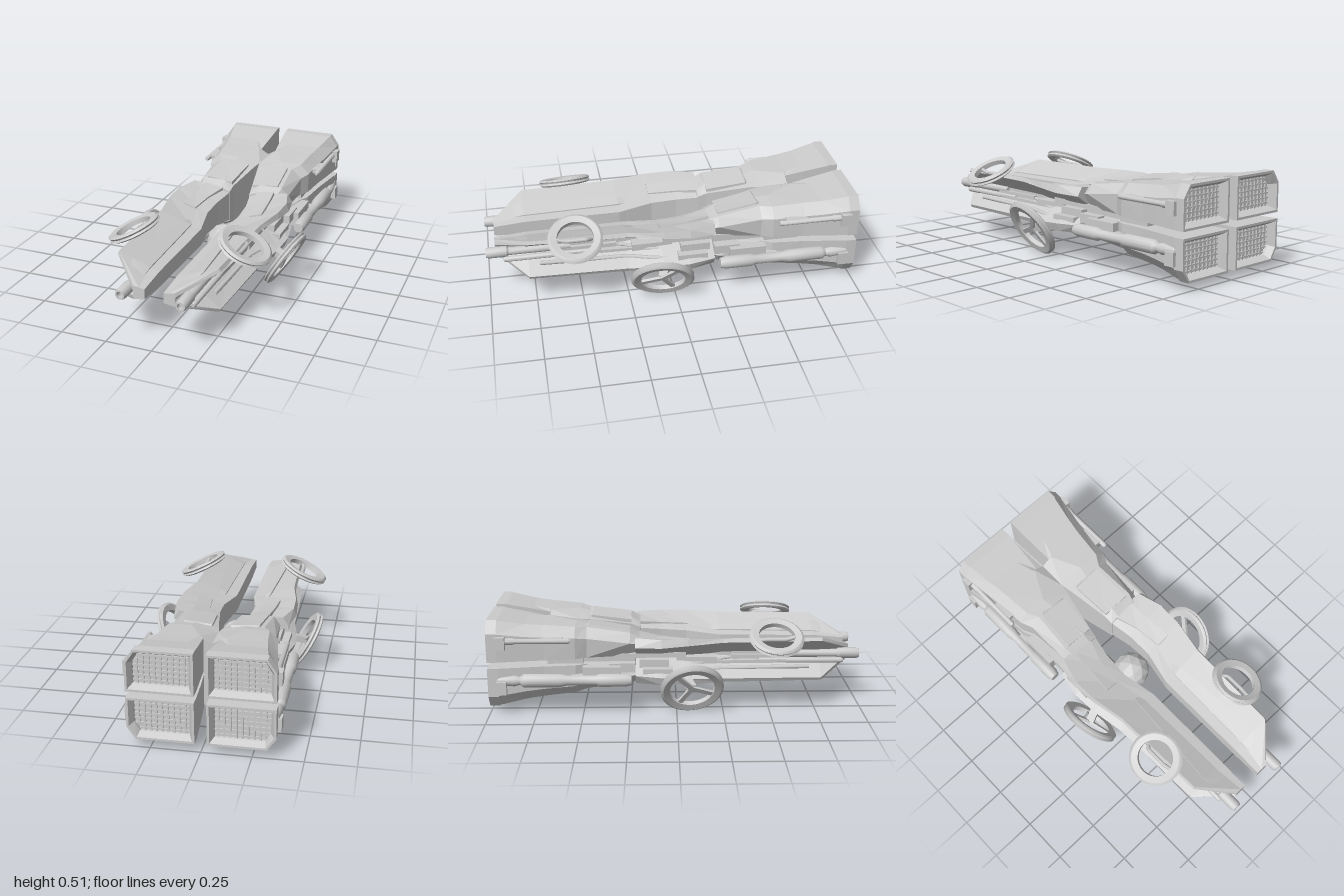
import * as THREE from 'three';
import { toCreasedNormals } from 'three/addons/utils/BufferGeometryUtils.js';

const MID = 0.278; // height of the plane between upper and lower wings
const flat = new THREE.MeshStandardMaterial({ color: 0xcccccc, flatShading: true });
const smooth = new THREE.MeshStandardMaterial({ color: 0xcccccc });
const V = (a) => new THREE.Vector3(...a);

// Skin a list of stations [z, [x, y], [x, y], ...], running from front to back
function loft(stations, capped = true) {
  const n = stations[0].length - 1, pos = [], idx = [];
  for (const [z, ...pts] of stations) for (const [x, y] of pts) pos.push(x, y, z);
  for (let i = 0; i < stations.length - 1; i++)
    for (let j = 0; j < n; j++) {
      const a = i * n + j, b = i * n + (j + 1) % n;
      idx.push(a, b, b + n, a, b + n, a + n);
    }
  const e = (stations.length - 1) * n;
  for (let j = 1; capped && j < n - 1; j++) idx.push(0, j + 1, j, e, e + j, e + j + 1);
  const g = new THREE.BufferGeometry();
  g.setAttribute('position', new THREE.Float32BufferAttribute(pos, 3));
  g.setIndex(idx);
  const out = g.toNonIndexed();
  out.computeVertexNormals();
  return out;
}

// Bake a mirror into a geometry, across x = 0 and/or y = MID
function mirrored(geo, sx, sy) {
  const g = geo.index ? geo.toNonIndexed() : geo.clone();
  g.scale(sx, sy, 1).translate(0, sy < 0 ? 2 * MID : 0, 0);
  if (sx * sy < 0)
    for (const at of Object.values(g.attributes)) {
      const s = at.itemSize, d = at.array;
      for (let i = 0; i < d.length; i += 3 * s)
        for (let k = 0; k < s; k++) [d[i + s + k], d[i + 2 * s + k]] = [d[i + 2 * s + k], d[i + s + k]];
    }
  return g;
}

const box = (x0, x1, y0, y1, z0, z1) =>
  new THREE.BoxGeometry(x1 - x0, y1 - y0, z1 - z0).translate((x0 + x1) / 2, (y0 + y1) / 2, (z0 + z1) / 2);

// Bar with rectangular section between two points
function bar(a, b, w, h = w) {
  const m = new THREE.Matrix4().lookAt(V(b), V(a), new THREE.Vector3(0, 1, 0.01));
  const c = V(a).add(V(b)).multiplyScalar(0.5);
  return new THREE.BoxGeometry(w, h, V(a).distanceTo(V(b))).applyMatrix4(m.setPosition(c));
}

// Turned part along z: profile pairs of [radius, z], from back to front
const turned = (x, y, prof) => toCreasedNormals(
  new THREE.LatheGeometry(prof.map(([r, z]) => new THREE.Vector2(r, z)), 14).rotateX(Math.PI / 2).translate(x, y, 0), 0.6);

const pipe = (pts, r) => new THREE.TubeGeometry(
  new THREE.CatmullRomCurve3(pts.map(V), false, 'catmullrom', 0.1), 20, r, 7, false);

// Wheel-like ring with a bevelled rim and optional spokes, its axis along a normal
function ring(x, y, z, R, r, normal, spokes) {
  const prof = [[r, -0.013], [R - 0.014, -0.019], [R, -0.01], [R - 0.006, 0], [R, 0.01],
    [R - 0.014, 0.019], [r, 0.013], [r, -0.013]].map(([a, b]) => new THREE.Vector2(a, b));
  const parts = [toCreasedNormals(new THREE.LatheGeometry(prof, 36), 0.5)];
  for (const a of spokes)
    parts.push(new THREE.BoxGeometry(r + 0.01, 0.014, 0.026).translate((r + 0.01) / 2, 0, 0).rotateY(a));
  const q = new THREE.Quaternion().setFromUnitVectors(new THREE.Vector3(0, 1, 0), V(normal).normalize());
  return parts.map((g) => g.applyQuaternion(q).translate(x, y, z));
}

export function createModel() {
  const model = new THREE.Group();
  const group = (name) => {
    const g = new THREE.Group();
    g.name = name;
    model.add(g);
    return g;
  };
  // place a geometry left and right, for the upper (1) and/or lower (-1) half
  const place = (g, name, geo, mat = flat, ys = [1, -1]) => {
    for (const sy of ys) for (const sx of [1, -1]) {
      const m = new THREE.Mesh(mirrored(geo, sx, sy), mat);
      m.name = name;
      g.add(m);
    }
  };

  // Hull: four tilted prongs that grow into the engine housings
  const hull = group('hull');
  place(hull, 'wingHull', loft([
    [0.95, [0.05, 0.26], [0.05, 0.305], [0.08, 0.31], [0.11, 0.315], [0.115, 0.295], [0.10, 0.255]],
    [0.78, [0.05, 0.25], [0.05, 0.32], [0.10, 0.328], [0.268, 0.397], [0.277, 0.38], [0.13, 0.275]],
    [0.25, [0.05, 0.25], [0.05, 0.325], [0.11, 0.335], [0.285, 0.40], [0.295, 0.378], [0.14, 0.275]],
    [0.06, [0.09, 0.25], [0.09, 0.34], [0.15, 0.355], [0.32, 0.402], [0.33, 0.37], [0.17, 0.27]],
    [-0.08, [0.085, 0.25], [0.085, 0.35], [0.15, 0.37], [0.325, 0.403], [0.34, 0.36], [0.18, 0.27]],
    [-0.22, [0.06, 0.25], [0.06, 0.365], [0.12, 0.385], [0.285, 0.403], [0.315, 0.355], [0.2, 0.28]],
  ]));
  place(hull, 'engineHousing', loft([
    [-0.20, [0.06, 0.27], [0.06, 0.37], [0.11, 0.39], [0.23, 0.395], [0.26, 0.36], [0.2, 0.28]],
    [-0.25, [0.055, 0.27], [0.055, 0.39], [0.11, 0.418], [0.24, 0.42], [0.275, 0.37], [0.23, 0.29]],
    [-0.48, [0.012, 0.28], [0.012, 0.43], [0.13, 0.45], [0.225, 0.45], [0.285, 0.40], [0.28, 0.295]],
    [-0.54, [0, 0.28], [0, 0.435], [0.14, 0.463], [0.26, 0.461], [0.312, 0.41], [0.31, 0.295]],
    [-0.70, [0, 0.29], [0, 0.44], [0.06, 0.475], [0.275, 0.475], [0.325, 0.42], [0.325, 0.295]],
    [-0.702, [0.045, 0.29], [0.045, 0.465], [0.07, 0.475], [0.275, 0.475], [0.325, 0.42], [0.325, 0.295]],
    [-0.80, [0.038, 0.295], [0.038, 0.485], [0.1, 0.485], [0.29, 0.485], [0.34, 0.428], [0.34, 0.295]],
    [-0.95, [0.03, 0.295], [0.03, 0.513], [0.1, 0.513], [0.317, 0.513], [0.362, 0.448], [0.362, 0.295]],
  ]));

  // Raised armour plates following the top of each wing
  place(hull, 'ridgePlate', loft([
    [0.84, [0.10, 0.30], [0.10, 0.325], [0.18, 0.356], [0.185, 0.33]],
    [0.78, [0.10, 0.30], [0.10, 0.334], [0.195, 0.374], [0.20, 0.35]],
    [0.25, [0.11, 0.30], [0.11, 0.342], [0.155, 0.361], [0.16, 0.34]],
    [0.20, [0.12, 0.30], [0.12, 0.338], [0.145, 0.348], [0.15, 0.33]],
  ]));
  place(hull, 'shoulderPlate', loft([
    [0.07, [0.16, 0.32], [0.16, 0.364], [0.23, 0.385], [0.24, 0.35]],
    [-0.08, [0.14, 0.32], [0.14, 0.376], [0.22, 0.394], [0.23, 0.36]],
    [-0.20, [0.10, 0.32], [0.10, 0.392], [0.21, 0.408], [0.22, 0.36]],
  ]));
  place(hull, 'backPlate', loft([
    [-0.25, [0.065, 0.36], [0.065, 0.412], [0.215, 0.428], [0.225, 0.38]],
    [-0.47, [0.045, 0.40], [0.045, 0.445], [0.20, 0.458], [0.21, 0.42]],
    [-0.49, [0.06, 0.40], [0.06, 0.43], [0.19, 0.45], [0.20, 0.42]],
  ]));

  // Engine mouths: chamfered rim, sloping lip and a recessed grille
  const engines = group('engines');
  const outline = (d) => [[0.03 + d, 0.295 + d], [0.03 + d, 0.515 - d], [0.32 - d * 0.4, 0.515 - d],
    [0.365 - d, 0.45 - d * 0.4], [0.365 - d, 0.295 + d]];
  place(engines, 'engineMouth', loft([
    [-0.945, ...outline(0)], [-1, ...outline(0)], [-1, ...outline(0.012)], [-0.965, ...outline(0.03)], [-0.945, ...outline(0.032)],
  ], false));
  for (let i = 0; i < 9; i++) {
    const x = 0.08 + i * 0.029;
    place(engines, 'grilleBar', box(x - 0.004, x + 0.004, 0.322, x > 0.3 ? 0.455 : 0.487, -0.959, -0.949));
  }
  for (let i = 0; i < 6; i++) {
    const y = 0.342 + i * 0.026;
    place(engines, 'grilleBar', box(0.058, y > 0.45 ? 0.31 : 0.336, y - 0.004, y + 0.004, -0.958, -0.949));
  }

  // Core and machinery in the gap between the wings
  const core = group('core');
  place(core, 'coreBlock', box(0, 0.28, 0.25, 0.306, -0.69, -0.5), flat, [1]);
  place(core, 'coreSide', box(0.09, 0.25, 0.25, 0.306, -0.51, -0.22), flat, [1]);
  place(core, 'coreStrip', box(0.06, 0.11, 0.25, 0.306, 0.2, 0.9), flat, [1]);
  place(core, 'coreStep', box(0.10, 0.16, 0.262, 0.294, -0.25, 0.72), flat, [1]);
  for (const [x0, x1, y0, y1, z0, z1] of [
    [0.13, 0.18, 0.28, 0.305, 0.3, 0.62], [0.16, 0.22, 0.28, 0.318, 0.0, 0.22],
    [0.18, 0.27, 0.28, 0.33, -0.2, -0.04], [0.2, 0.3, 0.29, 0.34, -0.36, -0.22],
    [0.24, 0.31, 0.32, 0.36, -0.18, -0.02], [0.26, 0.33, 0.3, 0.35, -0.5, -0.3],
  ]) place(core, 'machineBlock', box(x0, x1, y0, y1, z0, z1), flat, [-1]);
  place(core, 'upperMachineBlock', box(0.17, 0.24, 0.28, 0.31, -0.24, 0.05), flat, [1]);
  place(core, 'fuelPipe', pipe([[0.15, 0.285, 0.8], [0.165, 0.295, 0.3], [0.22, 0.315, 0.12], [0.24, 0.32, -0.2], [0.26, 0.33, -0.4]], 0.01), smooth, [-1]);
  place(core, 'wingPipe', pipe([[0.22, 0.335, 0.72], [0.23, 0.34, 0.25], [0.27, 0.345, 0.1], [0.27, 0.345, -0.15]], 0.012), smooth, [-1]);
  place(core, 'underStrip', bar([0.18, 0.31, 0.75], [0.2, 0.315, 0.1], 0.025, 0.02), flat, [-1]);

  // Nose cannons
  const guns = group('guns');
  place(guns, 'noseCannon', turned(0.159, 0.278, [[0, 0.55], [0.022, 0.55], [0.022, 0.88], [0.03, 0.89],
    [0.03, 0.985], [0.025, 1], [0.017, 1], [0.017, 0.97], [0, 0.97]]), smooth, [1]);
  place(guns, 'noseBarrel', turned(0.185, 0.245, [[0, 0.45], [0.015, 0.45], [0.015, 0.9], [0.01, 0.91], [0, 0.91]]), smooth, [1]);

  // Side cannons: slim above, heavy below
  place(guns, 'slimCannon', turned(0.352, 0.408, [[0, -0.95], [0.018, -0.95], [0.018, -0.86], [0.014, -0.85],
    [0.014, -0.57], [0.009, -0.56], [0, -0.56]]), smooth, [1]);
  place(guns, 'heavyCannon', turned(0.348, 0.19, [[0, -0.95], [0.022, -0.95], [0.03, -0.86], [0.022, -0.83],
    [0.036, -0.81], [0.036, -0.62], [0.027, -0.58], [0.027, -0.43], [0.035, -0.41], [0.035, -0.27],
    [0.027, -0.24], [0, -0.24]]), smooth, [1]);
  for (const z of [-0.34, -0.52, -0.72])
    place(guns, 'cannonMount', box(0.25, 0.34, 0.172, 0.212, z - 0.04, z + 0.04), flat, [1]);
  place(guns, 'slimMount', box(0.28, 0.345, 0.395, 0.42, -0.72, -0.6), flat, [1]);
  place(guns, 'sideBracket', box(0.34, 0.384, 0.365, 0.435, -0.955, -0.9));
  place(guns, 'cableRun', pipe([[0.345, 0.37, -0.95], [0.335, 0.37, -0.8], [0.31, 0.36, -0.6], [0.28, 0.34, -0.3]], 0.011), smooth, [-1]);

  // Rings: small open pair above the nose, larger spoked pair outside the waist
  const rings = group('rings');
  for (const g of ring(0.308, 0.41, 0.53, 0.145, 0.097, [0.44, 0.9, 0.05], []))
    place(rings, 'upperRing', g, smooth, [1]);
  for (const g of ring(0.378, 0.152, 0.08, 0.169, 0.12, [0.87, -0.5, 0.1], [0.4, 2.3, -1.3]))
    place(rings, 'lowerRing', g, smooth, [1]);
  place(rings, 'upperStrut', pipe([[0.26, 0.375, 0.42], [0.3, 0.395, 0.47], [0.3, 0.395, 0.58], [0.29, 0.41, 0.65]], 0.011), smooth, [1]);
  place(rings, 'lowerStrut', bar([0.27, 0.19, 0.04], [0.378, 0.152, 0.08], 0.045, 0.035), flat, [1]);

  // Faceted ball under the gap
  const ball = new THREE.Mesh(new THREE.IcosahedronGeometry(0.104, 1), flat);
  ball.name = 'ball';
  ball.position.set(0, 0.162, 0.02);
  model.add(ball);
  return model;
}
